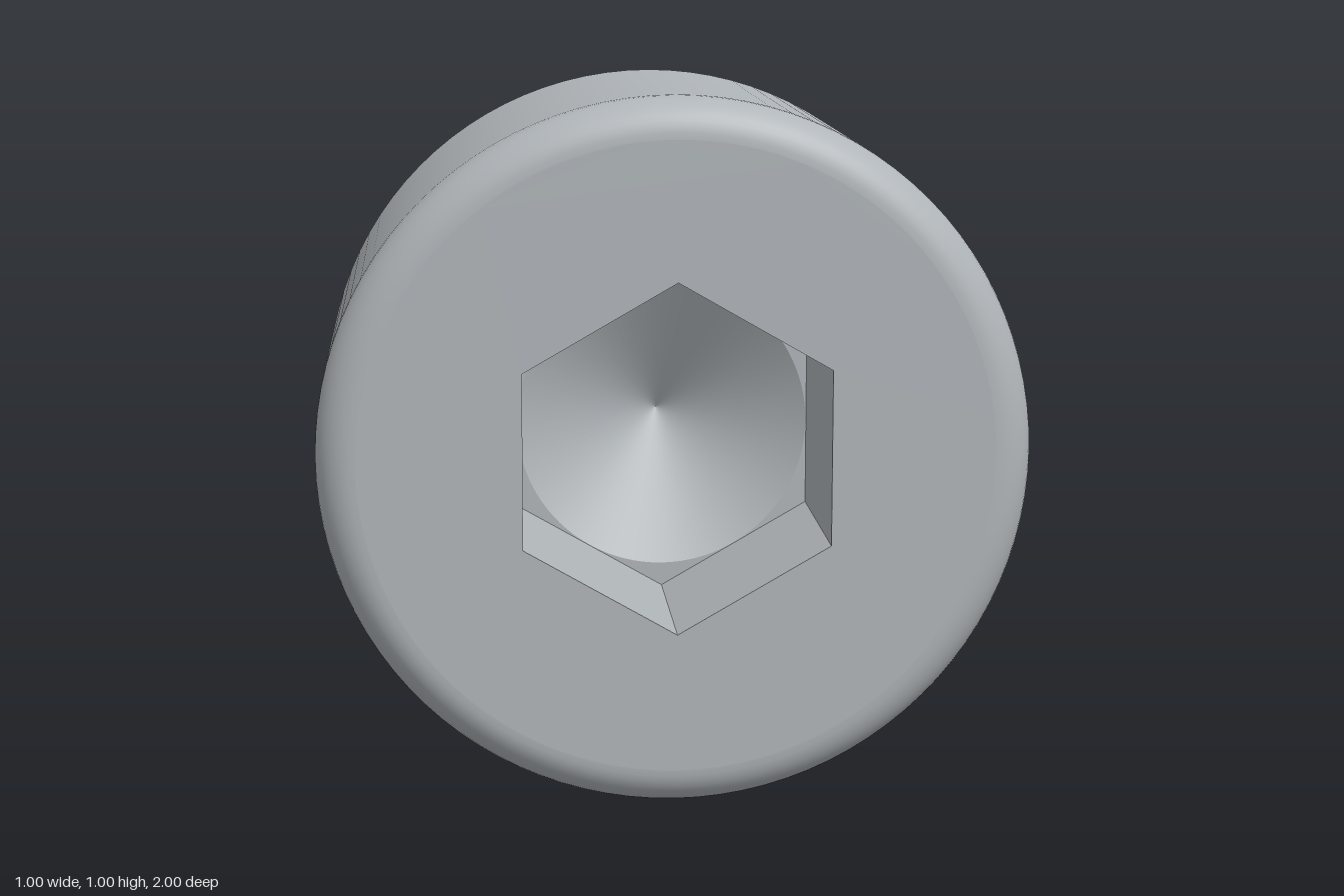
import * as THREE from 'three';

const SEGMENTS = 96;
const CENTRE_Y = 0.5;
const HEAD_R = 0.5, HEAD_BACK = 0.4286, FILLET = 0.057;
const SHAFT_R = 0.2857, TIP_R = 0.23;
const HEX_R = 0.2474, DRILL_R = 0.2135, FLOOR_Z = 0.7143;

// Turned surface along z; each point is [radius, z], listed from back to front on the outside
function turned(points, segments = SEGMENTS) {
  const profile = points.map(([r, z]) => new THREE.Vector2(r, z));
  return new THREE.LatheGeometry(profile, segments).rotateX(Math.PI / 2);
}

// Regular polygon outline with a corner at the top
function polygon(radius, sides, PathType) {
  const points = [];
  for (let i = 0; i < sides; i++) {
    const a = Math.PI / 2 + (i / sides) * Math.PI * 2;
    points.push(new THREE.Vector2(radius * Math.cos(a), radius * Math.sin(a)));
  }
  return new PathType(points);
}

// Flat plate facing the front with one hole
function plate(outline, hole, z) {
  outline.holes.push(hole);
  return new THREE.ShapeGeometry(outline).translate(0, 0, z);
}

export function createModel() {
  const steel = new THREE.MeshStandardMaterial({ color: 0xb0b5b9 });
  steel.name = 'steel grey';

  const model = new THREE.Group();
  model.name = 'socketHeadScrew';
  const add = (parent, name, geometry) => {
    const mesh = new THREE.Mesh(geometry, steel);
    mesh.name = name;
    parent.add(mesh);
  };
  const group = (name) => {
    const g = new THREE.Group();
    g.name = name;
    g.position.y = CENTRE_Y;
    model.add(g);
    return g;
  };

  // Shaft: flat tip, chamfer, then the body flaring softly into the neck
  const shaft = group('shaft');
  add(shaft, 'tipFace', turned([[0, -1], [TIP_R, -1]]));
  add(shaft, 'tipChamfer', turned([[TIP_R, -1], [SHAFT_R, -0.945]]));
  add(shaft, 'shaftBody', turned([
    [SHAFT_R, -0.945], [SHAFT_R, 0.325], [SHAFT_R, 0.335], [0.289, 0.346],
    [0.295, 0.357], [0.322, 0.402], [0.329, 0.413], [0.336, 0.421], [0.342, HEAD_BACK],
  ]));

  // Head: flat underside, straight side and rounded front rim
  const head = group('head');
  add(head, 'headUnderside', turned([[0.342, HEAD_BACK], [HEAD_R, HEAD_BACK]]));
  const side = [[HEAD_R, HEAD_BACK], [HEAD_R, 0.935]];
  for (let i = 0; i <= 10; i++) {
    const a = (i / 10) * Math.PI / 2;
    side.push([HEAD_R - FILLET + FILLET * Math.cos(a), 1 - FILLET + FILLET * Math.sin(a)]);
  }
  add(head, 'headSide', turned(side));
  add(head, 'headFace', plate(
    polygon(HEAD_R - FILLET, SEGMENTS, THREE.Shape), polygon(HEX_R, 6, THREE.Path), 1));

  // Hex socket: six flat walls, floor corners and conical drill point
  const socket = group('hexSocket');
  const walls = turned([[HEX_R, 1], [HEX_R, FLOOR_Z]], 6).toNonIndexed();
  walls.computeVertexNormals();
  add(socket, 'socketWalls', walls);
  add(socket, 'socketFloor', plate(
    polygon(HEX_R, 6, THREE.Shape), polygon(DRILL_R, SEGMENTS, THREE.Path), FLOOR_Z));
  add(socket, 'drillPoint', turned([[DRILL_R, FLOOR_Z], [0, FLOOR_Z - DRILL_R / Math.sqrt(3)]]));

  return model;
}
